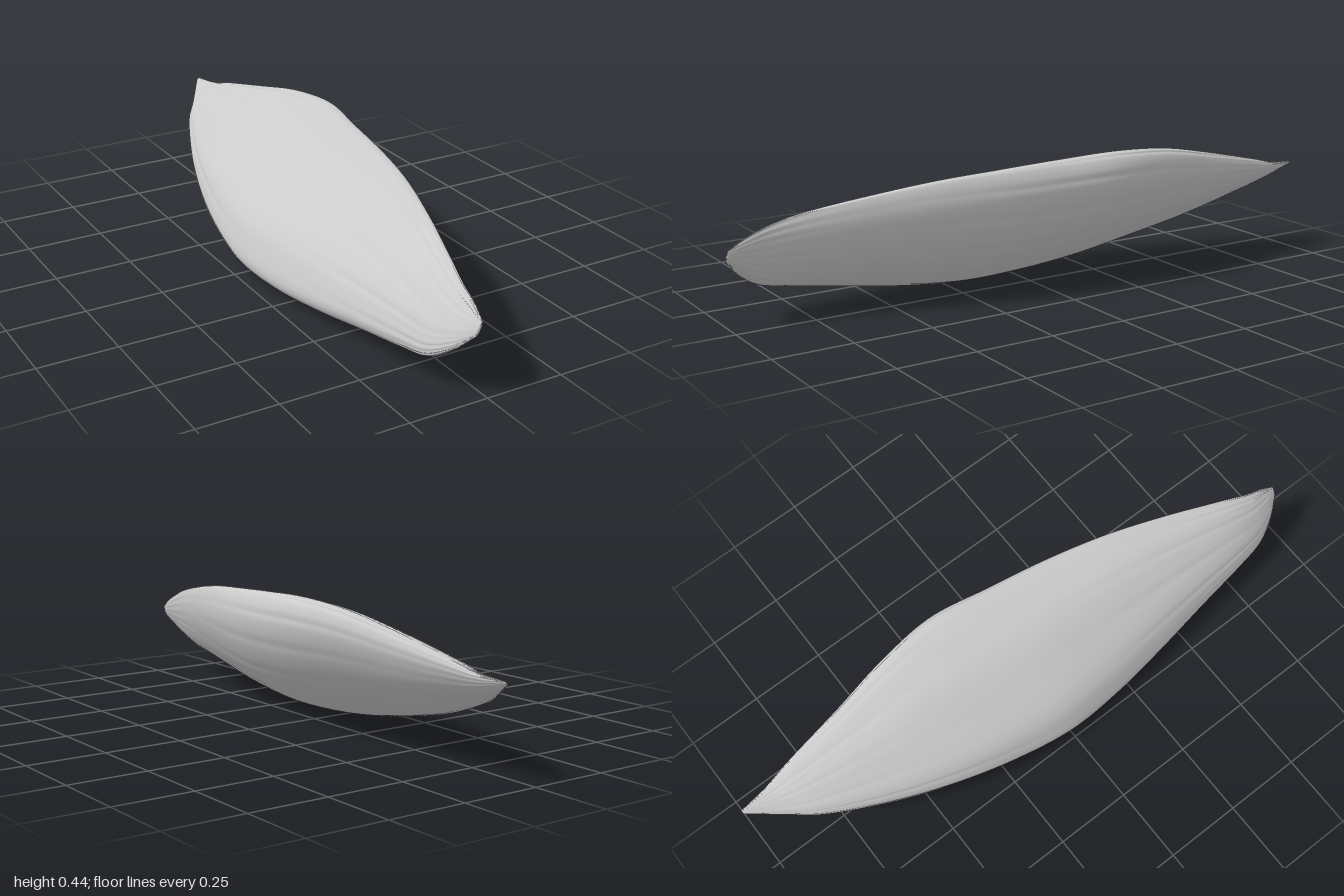
import * as THREE from 'three';

// Stations along the length: z, xMin, xMax, yMin, yMax, lean (1 = thin diagonal blade)
const STATIONS = [
  [1.00, -0.05, -0.03, 0.20, 0.24, 0.82],
  [0.95, -0.095, -0.02, 0.145, 0.27, 0.80],
  [0.88, -0.13, -0.01, 0.10, 0.30, 0.76],
  [0.78, -0.15, 0.02, 0.08, 0.33, 0.70],
  [0.60, -0.175, 0.08, 0.05, 0.365, 0.67],
  [0.40, -0.205, 0.14, 0.018, 0.395, 0.65],
  [0.20, -0.23, 0.185, 0.00, 0.412, 0.64],
  [0.00, -0.24, 0.215, 0.005, 0.425, 0.65],
  [-0.20, -0.215, 0.24, 0.03, 0.435, 0.67],
  [-0.40, -0.17, 0.22, 0.07, 0.42, 0.69],
  [-0.60, -0.105, 0.185, 0.12, 0.38, 0.70],
  [-0.80, -0.02, 0.155, 0.19, 0.335, 0.71],
  [-0.90, 0.045, 0.135, 0.235, 0.31, 0.72],
  [-1.00, 0.11, 0.12, 0.29, 0.30, 0.75],
];
const RINGS = 140, SIDES = 160;

// Smooth interpolation of one station column
function track(column) {
  const pts = STATIONS.map((s) => new THREE.Vector3(s[0], s[column], 0));
  const curve = new THREE.CatmullRomCurve3(pts, false, 'catmullrom', 0.5);
  return (u) => curve.getPoint(u);
}

// Lengthwise furrows and narrow grooves, drifting slowly across the surface
function furrow(s, z) {
  const fade = 0.5 + 0.5 * Math.sin(3.1 * z + 2 * Math.sin(s));
  const coarse = Math.sin(7 * s + 1.6 * z) * (0.4 + 0.6 * fade);
  const groove = -Math.pow(0.5 + 0.5 * Math.sin(13 * s - 2.3 * z + 1), 6) * (1 - fade);
  const ends = Math.sin(23 * s + 2 * z) * Math.pow(Math.abs(z), 6);
  const upper = 0.3 + 0.7 * Math.max(0, Math.sin(s));
  return upper * (0.024 * coarse + 0.04 * groove) + 0.022 * ends;
}

// Leaning lens-shaped cross-section: flatter upper face, blunt lower edge, sharp upper edge
function section(z, x0, x1, y0, y1, lean) {
  const half = Math.acos(lean) / 2;
  const raw = [];
  for (let j = 0; j < SIDES; j++) {
    const s = (j / SIDES) * Math.PI * 2;
    const cos = Math.cos(s), sin = Math.sin(s);
    const face = sin > 0 ? 0.8 - 0.12 * cos : 1.1;
    const c = cos < 0 ? -Math.pow(-cos, 0.88) : cos;
    const n = face * sin * Math.pow(Math.abs(sin), cos < 0 ? 0 : 0.15);
    const k = 1 + furrow(s, z);
    raw.push(new THREE.Vector2(
      k * (c * Math.cos(half) - n * Math.sin(half)),
      k * (c * Math.cos(half) + n * Math.sin(half))));
  }
  // Fit to the station's width and height
  const box = new THREE.Box2().setFromPoints(raw);
  const size = box.getSize(new THREE.Vector2());
  return raw.map((p) => [
    x0 + ((p.x - box.min.x) / size.x) * (x1 - x0),
    y0 + ((p.y - box.min.y) / size.y) * (y1 - y0),
    z,
  ]);
}

function bodyGeometry() {
  const tracks = [1, 2, 3, 4, 5].map(track);
  const rings = [];
  for (let i = 0; i <= RINGS; i++) {
    const values = tracks.map((t) => t(i / RINGS));
    rings.push(section(values[0].x, ...values.map((v) => v.y)));
  }
  const positions = rings.flat(2);
  const index = [];
  for (let i = 0; i < RINGS; i++) {
    for (let j = 0; j < SIDES; j++) {
      const a = i * SIDES + j, b = i * SIDES + ((j + 1) % SIDES);
      index.push(a, a + SIDES, b, b, a + SIDES, b + SIDES);
    }
  }
  // Close both tips with fans
  for (const [row, front] of [[0, true], [RINGS, false]]) {
    const ring = rings[row], centre = positions.length / 3;
    for (let k = 0; k < 3; k++) positions.push(ring.reduce((sum, p) => sum + p[k], 0) / SIDES);
    for (let j = 0; j < SIDES; j++) {
      const a = row * SIDES + j, b = row * SIDES + ((j + 1) % SIDES);
      if (front) index.push(centre, a, b);
      else index.push(centre, b, a);
    }
  }
  const geometry = new THREE.BufferGeometry();
  geometry.setAttribute('position', new THREE.Float32BufferAttribute(positions, 3));
  geometry.setIndex(index);
  geometry.computeVertexNormals();
  return geometry;
}

export function createModel() {
  const group = new THREE.Group();
  group.name = 'rockShard';
  const body = new THREE.Mesh(bodyGeometry(), new THREE.MeshStandardMaterial({ color: 0xcccccc }));
  body.name = 'shardBody';
  group.add(body);
  return group;
}
